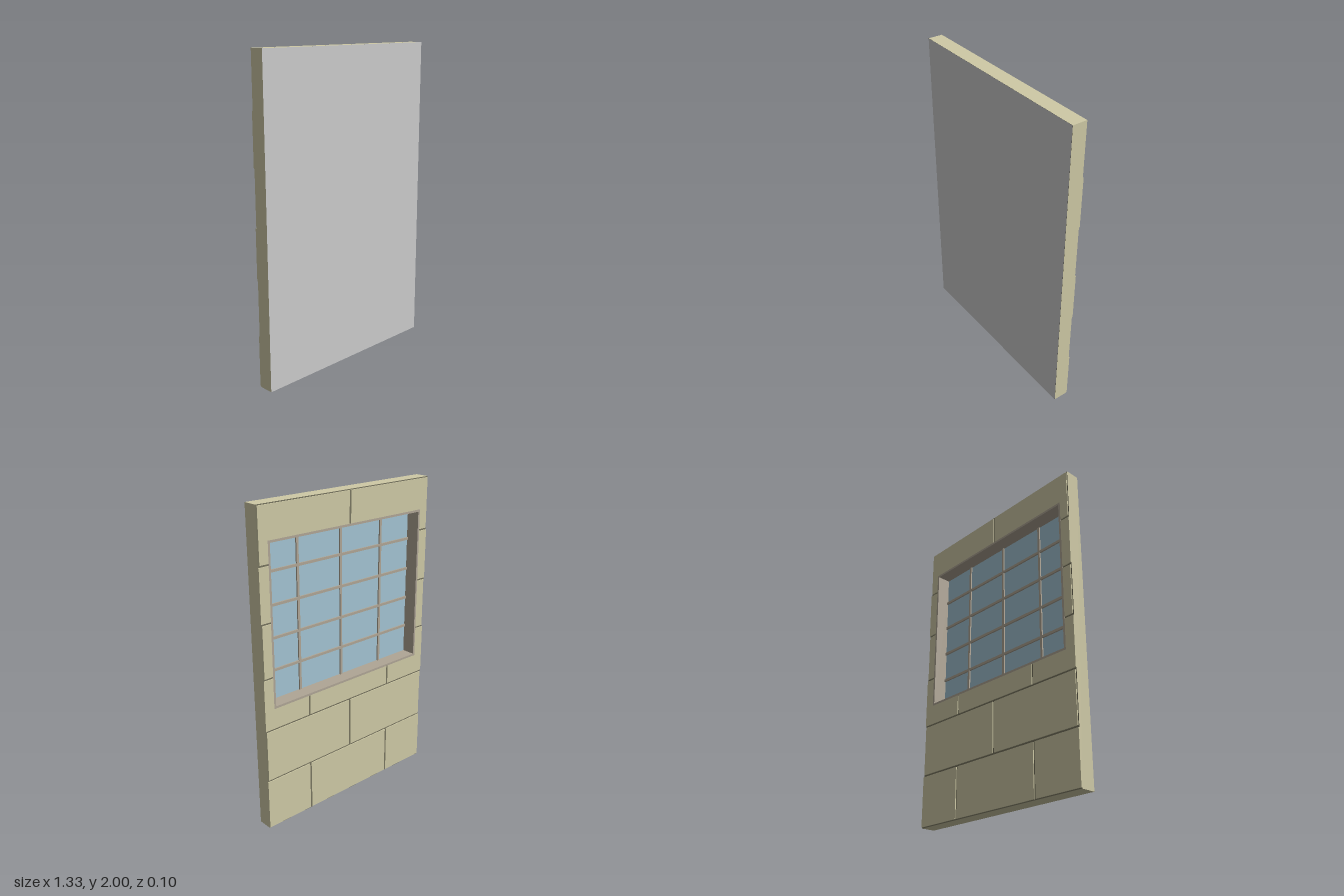
import * as THREE from 'three';

const W = 2 / 3, H = 2, FRONT = 0.05, BACK = -0.05;   // half width, height, z limits
const MORTAR_Z = -0.044;                              // bottom of the joints
const WIN = { x: 0.6, y0: 0.8, y1: 1.8 };             // window opening
const FRAME = 0.014, JOINT = 0.012;

const material = (color) => new THREE.MeshStandardMaterial({ color });
const stone = material(0xcfcaa6), mortar = material(0x77745f);
const trim = material(0xb0a696), glass = material(0xa3c4d3), grey = material(0xcccccc);

function box(name, x0, x1, y0, y1, z0, z1, mat) {
  const mesh = new THREE.Mesh(new THREE.BoxGeometry(x1 - x0, y1 - y0, z1 - z0), mat);
  mesh.position.set((x0 + x1) / 2, (y0 + y1) / 2, (z0 + z1) / 2);
  mesh.name = name;
  return mesh;
}

function rect(Type, x, y0, y1) {
  return new Type([[-x, y0], [x, y0], [x, y1], [-x, y1]].map(([a, b]) => new THREE.Vector2(a, b)));
}

// Rectangular ring extruded along z, with optional separate cap and side materials
function ring(name, outer, hole, z0, z1, mat) {
  const shape = rect(THREE.Shape, ...outer);
  shape.holes.push(rect(THREE.Path, ...hole));
  const mesh = new THREE.Mesh(new THREE.ExtrudeGeometry(shape, { depth: z1 - z0, bevelEnabled: false }), mat);
  mesh.position.z = z0;
  mesh.name = name;
  return mesh;
}

// The parts of a block left after the window opening is taken out
function cutByWindow([x0, x1, y0, y1]) {
  const lo = Math.max(y0, WIN.y0), hi = Math.min(y1, WIN.y1);
  if (lo >= hi) return [[x0, x1, y0, y1]];
  return [
    [x0, x1, y0, lo], [x0, x1, hi, y1],
    [x0, Math.min(x1, -WIN.x), lo, hi], [Math.max(x0, WIN.x), x1, lo, hi],
  ].filter(([a, b, c, d]) => b - a > 1e-4 && d - c > 1e-4);
}

export function createModel() {
  const model = new THREE.Group();
  model.name = 'windowWall';

  // Wall core: mortar on the back, stone on the edges
  model.add(ring('wallCore', [W, 0, H], [WIN.x, WIN.y0, WIN.y1], MORTAR_Z, FRONT - 0.001, [mortar, stone]));

  // Plain front face
  const front = new THREE.Mesh(new THREE.PlaneGeometry(2 * W, H), grey);
  front.position.set(0, H / 2, FRONT);
  front.name = 'frontFace';
  model.add(front);

  // Six courses of blocks in running bond on the back
  const blocks = new THREE.Group();
  blocks.name = 'stoneBlocks';
  const j = JOINT / 2, course = H / 6;
  for (let row = 0; row < 6; row++) {
    const xs = row % 2 ? [-W, 0, W] : [-W, -W / 2, W / 2, W];
    for (let i = 0; i < xs.length - 1; i++) {
      // Odd rows have a half joint at the wall's edges, even rows end flush
      const x0 = xs[i] + (row % 2 || i > 0 ? j : 0);
      const x1 = xs[i + 1] - (row % 2 || i < xs.length - 2 ? j : 0);
      for (const piece of cutByWindow([x0, x1, row * course + j, (row + 1) * course - j])) {
        blocks.add(box('block', ...piece, BACK, MORTAR_Z, stone));
      }
    }
  }
  model.add(blocks);

  // Window: deep frame, glass and glazing bars
  const win = new THREE.Group();
  win.name = 'window';
  const ix = WIN.x - FRAME, iy0 = WIN.y0 + FRAME, iy1 = WIN.y1 - FRAME;
  win.add(ring('windowFrame', [WIN.x, WIN.y0, WIN.y1], [ix, iy0, iy1], BACK, 0.047, trim));
  win.add(box('glass', -ix, ix, iy0, iy1, 0.04, 0.046, glass));
  const b = 0.008;
  for (const x of [-1 / 3, 0, 1 / 3]) {
    win.add(box('verticalBar', x - b, x + b, iy0, iy1, 0.031, 0.041, trim));
  }
  for (let y = 1; y < 1.7; y += 0.2) {
    win.add(box('horizontalBar', -ix, ix, y - b, y + b, 0.03, 0.041, trim));
  }
  model.add(win);
  return model;
}
